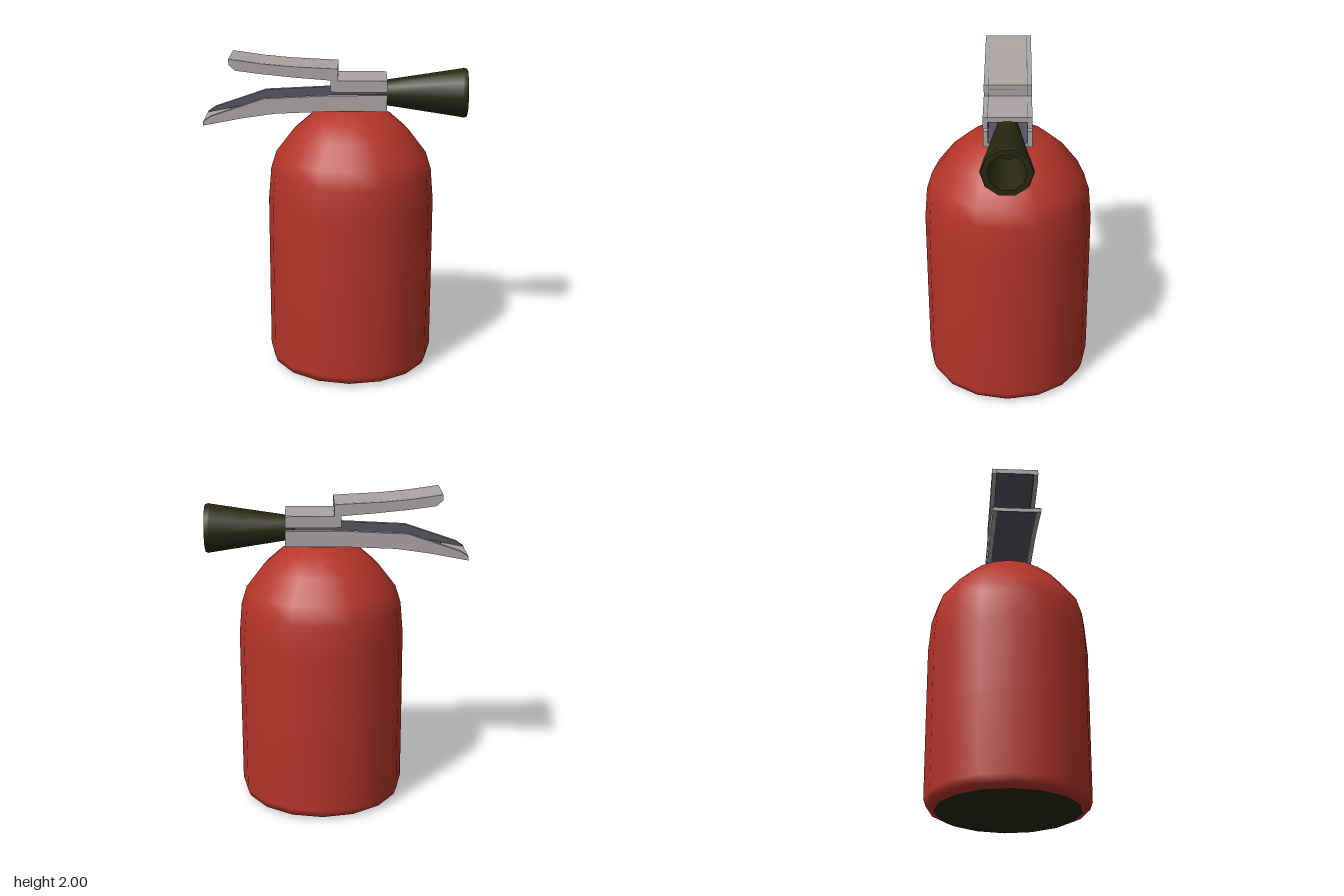
import * as THREE from 'three';

const material = (name, color) => {
  const m = new THREE.MeshStandardMaterial({ color });
  m.name = name;
  return m;
};

export function createModel() {
  const red = material('tank red', 0xb5352a);
  const black = material('olive black', 0x282812);
  const grey = material('lever grey', 0xaca3a3);
  const slate = material('lever inner slate', 0x555563);

  const model = new THREE.Group();
  model.name = 'fireExtinguisher';
  const add = (parent, name, geometry, mat) => {
    const mesh = new THREE.Mesh(geometry, mat);
    mesh.name = name;
    parent.add(mesh);
    return mesh;
  };
  const vectors = (pts) => pts.map(([x, y]) => new THREE.Vector2(x, y));

  // Tank: sixteen-sided smooth lathe with a domed shoulder
  const tank = new THREE.Group();
  tank.name = 'tank';
  tank.position.x = 0.095;
  model.add(tank);
  const facet = Math.PI / 16;
  const k = 1 / Math.cos(facet);
  const profile = [[0.45, 0], [0.495, 0.022], [0.512, 0.07], [0.512, 0.6], [0.511, 1.08], [0.494, 1.28],
    [0.46, 1.39], [0.355, 1.53], [0.255, 1.62], [0.12, 1.678], [0, 1.69]];
  add(tank, 'tankShell', new THREE.LatheGeometry(vectors(profile.map(([r, y]) => [r * k, y])), 16, facet), red);
  const base = add(tank, 'tankBase', new THREE.CircleGeometry(0.45 * k, 16, facet), black);
  base.rotation.x = Math.PI / 2;

  // Valve head: both levers and the nozzle, turned slightly on the tank
  const head = new THREE.Group();
  head.name = 'valveHead';
  head.position.x = 0.095;
  head.rotation.y = 0.2;
  model.add(head);

  const HALF = 0.145, WALL = 0.026;
  // Side outline extruded across the lever from z0
  const prism = (name, pts, z0, depth, mat) => {
    const geo = new THREE.ExtrudeGeometry(new THREE.Shape(vectors(pts)), { depth, bevelEnabled: false });
    geo.translate(0, 0, z0);
    return add(head, name, geo, mat);
  };
  // Plate following a line, from height a to height b relative to it
  const plate = (name, line, a, b, mat) => {
    const lower = line.map(([x, y]) => [x, y + a]);
    const upper = line.map(([x, y]) => [x, y + b]).reverse();
    prism(name, [...lower, ...upper], -HALF + WALL, 2 * (HALF - WALL), mat);
  };
  // Pair of side walls with slate inner faces
  const walls = (name, outline) => {
    for (const s of [1, -1]) {
      prism(name, outline, s > 0 ? HALF - WALL : -HALF, WALL, grey);
      prism(name + 'Lining', outline, s * (HALF - WALL - 0.002) - 0.002, 0.004, slate);
    }
  };

  // Upper lever: channel open at the bottom, stepping down to the valve
  const grip = [[-0.74, 2], [-0.55, 1.973], [-0.38, 1.957], [-0.08, 1.942]];
  const block = [[-0.08, 1.87], [0.22, 1.87]];
  walls('upperLeverWall', [...grip, ...block, [0.22, 1.8], [-0.125, 1.8], [-0.125, 1.872],
    [-0.33, 1.888], [-0.55, 1.91], [-0.7, 1.93], [-0.74, 1.965]]);
  plate('upperLeverGrip', grip, -0.028, 0, grey);
  plate('upperLeverGripLining', grip, -0.032, -0.028, slate);
  plate('upperLeverBlock', [[-0.12, 1.87], [0.22, 1.87]], -0.028, 0, grey);
  plate('upperLeverBlockLining', [[-0.12, 1.87], [0.22, 1.87]], -0.032, -0.028, slate);
  plate('upperLeverStep', [[-0.108, 1.842], [-0.08, 1.842]], 0, 0.1, grey);

  // Lower lever: channel open at the top, drooping to a flat tip
  const floor = [[-0.907, 1.588], [-0.86, 1.597], [-0.66, 1.636], [-0.46, 1.665], [-0.13, 1.68], [0.22, 1.68]];
  walls('lowerLeverWall', [...floor, [0.22, 1.78], [-0.13, 1.778], [-0.535, 1.757], [-0.86, 1.645], [-0.907, 1.612]]);
  plate('lowerLeverFloor', floor, 0, 0.022, grey);
  plate('lowerLeverUnderside', floor, -0.003, 0, slate);
  plate('lowerLeverLining', [[-0.76, 1.6165], ...floor.slice(2)], 0.022, 0.026, slate);

  // Nozzle: ten-sided horn with a recessed mouth
  const nozzle = new THREE.Group();
  nozzle.name = 'nozzle';
  nozzle.position.set(0, 1.768, 0);
  nozzle.rotation.z = -Math.PI / 2;
  head.add(nozzle);
  const horn = (name, pts) =>
    add(nozzle, name, new THREE.LatheGeometry(vectors(pts), 10), black);
  horn('nozzleBack', [[0, 0.16], [0.072, 0.16]]);
  horn('nozzleHorn', [[0.072, 0.16], [0.08, 0.22], [0.15, 0.68], [0.154, 0.695], [0.147, 0.715]]);
  horn('nozzleRim', [[0.147, 0.715], [0.112, 0.715]]);
  horn('nozzleBore', [[0.112, 0.715], [0.068, 0.42]]);
  horn('nozzleBoreEnd', [[0.068, 0.42], [0, 0.42]]);

  return model;
}
